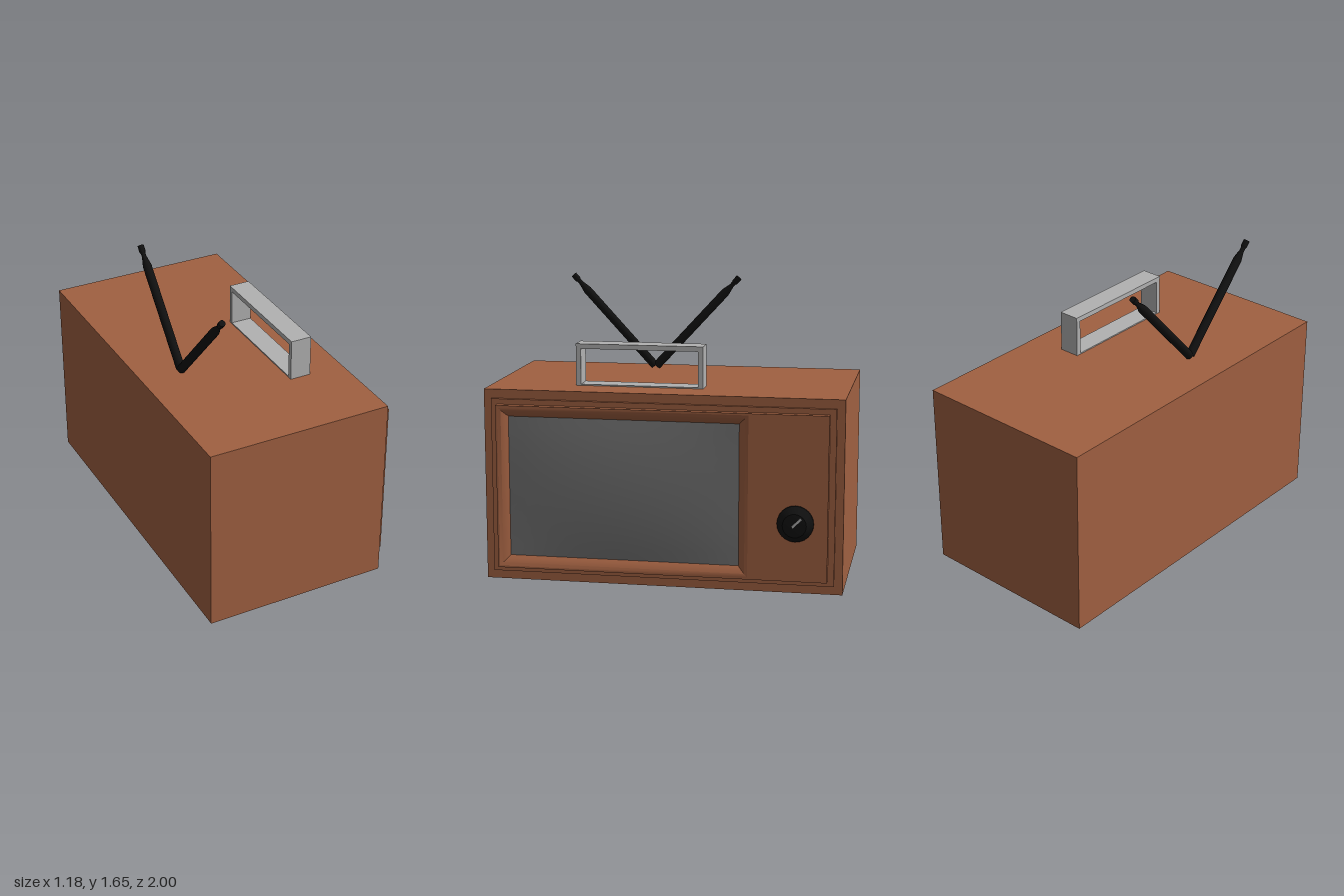
import * as THREE from 'three';
import { toCreasedNormals } from 'three/addons/utils/BufferGeometryUtils.js';

const mat = (name, color) => {
  const m = new THREE.MeshStandardMaterial({ color });
  m.name = name;
  return m;
};

export function createModel() {
  const brown = mat('brown casing', 0xa06041);
  const grey = mat('light grey metal', 0xb2b2b2);
  const glass = mat('grey screen', 0x737373);
  const black = mat('black plastic', 0x101010);
  const model = new THREE.Group();
  model.name = 'television';

  const add = (name, geometry, material, parent = model) => {
    const mesh = new THREE.Mesh(geometry, material);
    mesh.name = name;
    parent.add(mesh);
    return mesh;
  };
  // Box given by its limits on each axis
  const box = (name, [x0, x1], [y0, y1], [z0, z1], material, parent) =>
    add(name, new THREE.BoxGeometry(x1 - x0, y1 - y0, z1 - z0), material, parent)
      .position.set((x0 + x1) / 2, (y0 + y1) / 2, (z0 + z1) / 2);
  // Corners of a rectangle, counter-clockwise
  const rect = (u0, u1, v0, v1) => [[u0, v0], [u1, v0], [u1, v1], [u0, v1]].map(p => new THREE.Vector2(...p));

  // Cabinet and stepped front; the screen side looks along +x
  box('cabinet', [-0.595, 0.46], [0, 1.08], [-1, 1], brown);
  box('frontStep', [0.46, 0.48], [0.05, 1.03], [-0.955, 0.955], brown);

  // Front panel with the screen opening
  const panel = new THREE.Shape(rect(-0.92, 0.92, 0.08, 1.0));
  panel.holes.push(new THREE.Path(rect(-0.91, 0.485, 0.09, 0.99).reverse()));
  const panelGeo = new THREE.ExtrudeGeometry(panel, { depth: 0.04, bevelEnabled: false });
  add('frontPanel', panelGeo.rotateY(Math.PI / 2).translate(0.48, 0, 0), brown);

  // Curved bevel sloping in to the screen: inset and x of each ring
  const rings = [[0, 0.52], [0.018, 0.512], [0.038, 0.5], [0.055, 0.482]].map(([d, x]) =>
    rect(-0.91 + d, 0.485 - d, 0.09 + d, 0.99 - d).map(p => [x, p.y, -p.x]));
  const pos = [];
  for (let r = 0; r < rings.length - 1; r++) {
    for (let i = 0; i < 4; i++) {
      const j = (i + 1) % 4, o = rings[r], n = rings[r + 1];
      pos.push(...o[i], ...o[j], ...n[j], ...o[i], ...n[j], ...n[i]);
    }
  }
  const bevel = new THREE.BufferGeometry();
  bevel.setAttribute('position', new THREE.Float32BufferAttribute(pos, 3));
  add('screenBevel', toCreasedNormals(bevel, 0.6), brown);

  // Slightly bulging screen
  const w = 1.29, h = 0.79;
  const screen = new THREE.PlaneGeometry(w, h, 16, 12);
  const p = screen.attributes.position;
  for (let i = 0; i < p.count; i++) {
    const a = p.getX(i) / (w / 2), b = p.getY(i) / (h / 2);
    p.setZ(i, 0.025 * (1 - a * a) * (1 - b * b));
  }
  screen.computeVertexNormals();
  add('screen', screen.rotateY(Math.PI / 2).translate(0.483, 0.54, 0.2125), glass);

  // Tuning knob with its pointer
  const knob = new THREE.Group();
  knob.name = 'knob';
  knob.position.set(0.52, 0.405, -0.745);
  model.add(knob);
  const profile = [[0, 0], [0.1, 0], [0.1, 0.012], [0.065, 0.055], [0, 0.06]].map(q => new THREE.Vector2(...q));
  add('knobBody', toCreasedNormals(new THREE.LatheGeometry(profile, 24).rotateZ(-Math.PI / 2), 0.5), black, knob);
  const pointer = add('knobPointer', new THREE.BoxGeometry(0.014, 0.066, 0.014), grey, knob);
  pointer.position.set(0.06, 0.017, -0.012);
  pointer.rotation.x = -Math.PI / 4;

  // Carrying handle
  const handle = new THREE.Group();
  handle.name = 'handle';
  model.add(handle);
  const hx = [0.135, 0.255];
  box('handleTop', hx, [1.287, 1.315], [-0.195, 0.525], grey, handle);
  box('handleFoot', hx, [1.075, 1.087], [-0.167, 0.497], grey, handle);
  box('handleEndBack', hx, [1.075, 1.287], [-0.195, -0.167], grey, handle);
  box('handleEndFront', hx, [1.075, 1.287], [0.497, 0.525], grey, handle);

  // Rabbit-ear antennas, mirrored about z = 0.19
  const rod = [[0, 0], [0.025, 0], [0.025, 0.6], [0.013, 0.655], [0.013, 0.675], [0.018, 0.685], [0.018, 0.72], [0, 0.72]];
  for (const side of [-1, 1]) {
    const geo = new THREE.LatheGeometry(rod.map(q => new THREE.Vector2(...q)), 12);
    const ear = add(side < 0 ? 'antennaBack' : 'antennaFront', toCreasedNormals(geo, 0.6), black);
    ear.position.set(-0.365, 1.107, 0.19 + side * 0.005);
    ear.rotation.x = side * 0.745;
  }
  return model;
}
